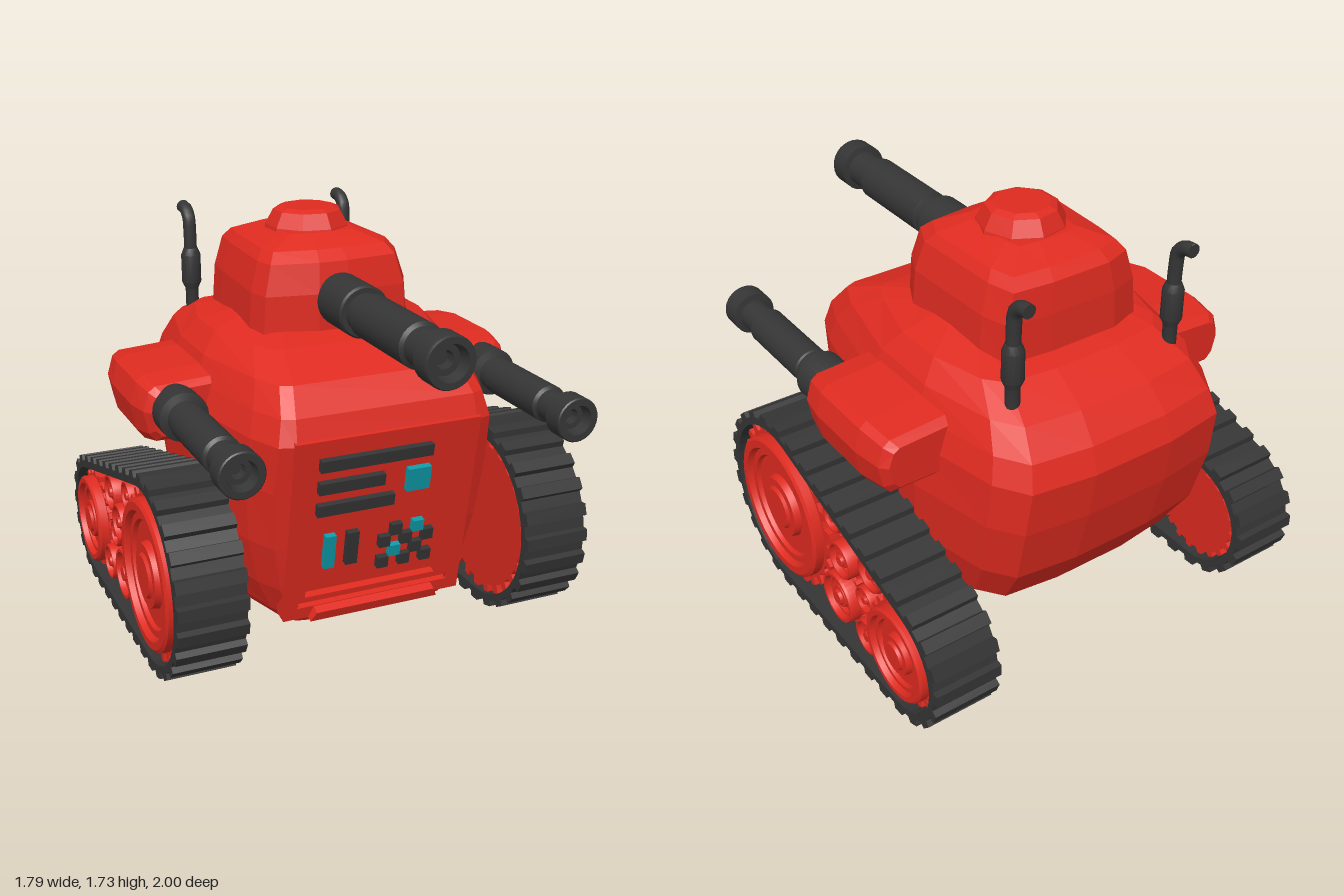
import * as THREE from 'three';
import { toCreasedNormals } from 'three/addons/utils/BufferGeometryUtils.js';

const red = new THREE.MeshStandardMaterial({ color: 0xdf2b20 });
const redFlat = new THREE.MeshStandardMaterial({ color: 0xdf2b20, flatShading: true });
const dark = new THREE.MeshStandardMaterial({ color: 0x353535 });
const cyan = new THREE.MeshStandardMaterial({ color: 0x0f9aa8 });

function add(group, name, geo, mat) {
  const mesh = new THREE.Mesh(geo, mat);
  mesh.name = name;
  group.add(mesh);
  return mesh;
}

// Skin over a stack of rings, capped at both ends; skip(i, j) leaves a quad open.
function loft(rings, skip = () => false) {
  const n = rings[0].length, pos = [], idx = [];
  rings.forEach(r => r.forEach(p => pos.push(...p)));
  for (let i = 0; i < rings.length - 1; i++) for (let j = 0; j < n; j++) {
    if (skip(i, j)) continue;
    const a = i * n + j, b = i * n + (j + 1) % n;
    idx.push(a, b, a + n, b, b + n, a + n);
  }
  [0, rings.length - 1].forEach((i, end) => {
    const c = pos.length / 3;
    pos.push(...[0, 1, 2].map(k => rings[i].reduce((s, p) => s + p[k], 0) / n));
    for (let j = 0; j < n; j++) {
      const a = i * n + j, b = i * n + (j + 1) % n;
      end ? idx.push(a, b, c) : idx.push(b, a, c);
    }
  });
  const g = new THREE.BufferGeometry();
  g.setAttribute('position', new THREE.Float32BufferAttribute(pos, 3));
  g.setIndex(idx);
  g.computeVertexNormals();
  return g;
}

const lathe = (pts, seg = 28) =>
  toCreasedNormals(new THREE.LatheGeometry(pts.map(p => new THREE.Vector2(...p)), seg), 0.5);

// Copy of a group with its baked geometry reflected in x.
function mirrored(group, name) {
  const out = new THREE.Group();
  out.name = name;
  group.children.forEach(m => {
    const g = m.geometry.index ? m.geometry.toNonIndexed() : m.geometry.clone();
    g.scale(-1, 1, 1);
    const p = g.attributes.position, v = new THREE.Vector3(), w = new THREE.Vector3();
    for (const at of [p, g.attributes.normal]) for (let i = 0; i < p.count; i += 3) {
      v.fromBufferAttribute(at, i + 1);
      w.fromBufferAttribute(at, i + 2);
      at.setXYZ(i + 1, w.x, w.y, w.z);
      at.setXYZ(i + 2, v.x, v.y, v.z);
    }
    add(out, m.name, g, m.material);
  });
  return out;
}

// Horizontal hull section: height, half width, front z, back z.
function hullRing([y, w, zf, zb]) {
  const c = (zf + zb) / 2, h = (zf - zb) / 2, fx = Math.min(0.38, w * 0.66);
  const half = [[fx, 1], [0.75 * w, 0.97], [0.85 * w, 0.78], [w, 0.2], [w, -0.28],
    [0.87 * w, -0.78], [0.73 * w, -0.95], [0.3 * w, -1]];
  const right = half.map(([x, v]) => [x, y, c + v * h]);
  return [...right, ...right.map(([x, , z]) => [-x, y, z]).reverse()];
}

// Gun barrel along +z with a hollow muzzle; steps are [radius, z].
function gun(x, y, steps, bore) {
  const z1 = steps.at(-1)[1];
  return lathe([[0, steps[0][1]], ...steps, [bore, z1], [bore * 0.85, z1 - 0.05],
    [bore * 0.5, z1 - 0.05], [bore * 0.45, z1 - 0.09], [0, z1 - 0.09]]).rotateX(Math.PI / 2).translate(x, y, 0);
}

// Toothed wheel on the x axis: extruded gear with a ringed face.
function addGear(group, name, z, y, r, teeth, x0, x1, x2) {
  const s = new THREE.Shape();
  for (let i = 0; i < teeth; i++) [[0, 0.9], [0.45, 0.9], [0.55, 1], [0.9, 1]].forEach(([t, k], j) => {
    const a = (i + t) / teeth * Math.PI * 2;
    s[i + j ? 'lineTo' : 'moveTo'](Math.cos(a) * r * k, Math.sin(a) * r * k);
  });
  const body = new THREE.ExtrudeGeometry(s, { depth: x1 - x0, bevelEnabled: false });
  add(group, name, body.rotateY(Math.PI / 2).translate(x0, y, z), red);
  const d = x2 - x1;
  const face = [[0.86, -0.2], [0.86, 0.8], [0.82, 1], [0.73, 1], [0.7, 0.5], [0.62, 0.5], [0.6, 0.15],
    [0.38, 0.15], [0.36, 0.75], [0.26, 0.75], [0.23, 1], [0, 1]].map(([a, b]) => [a * r, b * d]);
  add(group, name + 'Face', lathe(face, 32).rotateZ(-Math.PI / 2).translate(x1, y, z), red);
}

// Track belt outline around two wheels (shape x runs towards the back).
function trackGeometry() {
  const c1 = new THREE.Vector2(-0.17, 0.42), c2 = new THREE.Vector2(0.71, 0.3), r1 = 0.415, r2 = 0.29;
  const d = c1.clone().sub(c2), phi = d.angle(), beta = Math.acos((r2 - r1) / d.length());
  const path = new THREE.Path();
  path.absarc(c1.x, c1.y, r1, phi - beta, phi + beta);
  path.absarc(c2.x, c2.y, r2, phi + beta, phi + Math.PI * 2 - beta);
  path.closePath();
  const at = (t, off) => {
    const p = path.getPoint(t % 1), q = path.getTangent(t % 1);
    return new THREE.Vector2(p.x - q.y * off, p.y + q.x * off);
  };
  const outer = [], inner = [], cleats = 36;
  for (let i = 0; i < cleats; i++) {
    outer.push(at((i + 0.03) / cleats, 0.026), at((i + 0.47) / cleats, 0.026),
      at((i + 0.53) / cleats, 0), at((i + 0.97) / cleats, 0));
    inner.push(at((i + 0.25) / cleats, 0.055), at((i + 0.75) / cleats, 0.055));
  }
  const s = new THREE.Shape(outer);
  s.holes.push(new THREE.Path(inner));
  return new THREE.ExtrudeGeometry(s, { depth: 0.283, bevelEnabled: false }).rotateY(Math.PI / 2).translate(0.602, 0, 0);
}

// Rectangular frame with a rectangular opening.
function frame(w, y0, y1, wi, yi0, yi1, depth) {
  const rect = (C, a, b, c) => new C([[-a, b], [a, b], [a, c], [-a, c]].map(p => new THREE.Vector2(...p)));
  const s = rect(THREE.Shape, w, y0, y1);
  s.holes.push(rect(THREE.Path, wi, yi0, yi1));
  return new THREE.ExtrudeGeometry(s, { depth, bevelEnabled: false });
}

function frontPanel() {
  const g = new THREE.Group();
  g.name = 'frontPanel';
  g.position.set(0, 0.22, 0.37);
  g.rotation.x = Math.atan(0.15 / 0.78);
  add(g, 'outerFrame', frame(0.39, -0.012, 0.81, 0.335, 0.04, 0.765, 0.07).translate(0, 0, -0.062), red);
  add(g, 'innerFrame', frame(0.36, 0.02, 0.79, 0.29, 0.065, 0.72, 0.05).translate(0, 0, -0.07), red);
  add(g, 'panelPlate', new THREE.BoxGeometry(0.72, 0.77, 0.02).translate(0, 0.405, -0.065), red);
  const block = (name, x0, x1, y0, y1, mat) => add(g, name,
    new THREE.BoxGeometry(x1 - x0, (y1 - y0) * 1.018, 0.035)
      .translate((x0 + x1) / 2, ((y0 + y1) / 2 - 0.22) * 1.018, -0.045), mat);
  block('slot', -0.26, 0.22, 0.85, 0.9, dark);
  block('slot', -0.26, 0.02, 0.75, 0.8, dark);
  block('slot', -0.26, 0.07, 0.65, 0.7, dark);
  block('lamp', 0.12, 0.22, 0.7, 0.8, cyan);
  block('lampBar', -0.215, -0.17, 0.4, 0.55, cyan);
  block('slotBar', -0.12, -0.07, 0.4, 0.55, dark);
  // Checkered keypad
  for (let r = 0; r < 4; r++) for (let c = 0; c < 5; c++) {
    if ((r + c) % 2) continue;
    const lit = (r === 1 && c === 1) || (r === 3 && c === 3);
    block('key', 0.025 + c * 0.048, 0.073 + c * 0.048, 0.35 + r * 0.05, 0.4 + r * 0.05, lit ? cyan : dark);
  }
  add(g, 'lowerLip', new THREE.CylinderGeometry(0.37, 0.4, 0.045, 4, 1, false, Math.PI / 4)
    .scale(1, 1, 0.09).rotateX(0.25).translate(0, 0.012, 0.015), redFlat);
  return g;
}

export function createModel() {
  const model = new THREE.Group();

  // Hull, open at the front where the panel sits
  const hull = [[0.18, 0.43, 0.35, -0.42], [0.22, 0.47, 0.37, -0.58], [0.35, 0.535, 0.395, -0.76],
    [0.55, 0.585, 0.433, -0.885], [0.8, 0.605, 0.482, -0.95], [1, 0.595, 0.52, -0.978], [1.1, 0.565, 0.49, -0.94],
    [1.2, 0.525, 0.4, -0.85], [1.28, 0.46, 0.2, -0.68], [1.33, 0.33, -0.02, -0.42]];
  add(model, 'hull', loft(hull.map(hullRing), (i, j) => i >= 1 && i <= 4 && j === 15), redFlat);
  model.add(frontPanel());

  // Turret: chamfered box with slight taper
  const turretPlan = [[0.1, 1], [0.83, 0.93], [1, 0.6], [0.95, -0.6], [0.85, -0.95], [0.3, -1],
    [-0.55, -1], [-0.92, -0.88], [-0.96, -0.5], [-1, 0.6], [-0.93, 0.88], [-0.3, 1]];
  const turret = [[1.26, 0.35, 0.1, -0.6], [1.45, 0.335, 0.095, -0.595], [1.57, 0.3, 0.07, -0.58],
    [1.61, 0.27, 0.02, -0.54], [1.655, 0.15, -0.08, -0.43]];
  add(model, 'turret', loft(turret.map(([y, w, zf, zb]) => turretPlan.map(([u, v]) =>
    [u * w - 0.005, y, (zf + zb) / 2 + v * (zf - zb) / 2]))), redFlat);
  add(model, 'turretHatch', loft([[1.62, 0.18], [1.66, 0.172], [1.72, 0.14], [1.733, 0.11]].map(([y, r]) =>
    Array.from({ length: 9 }, (_, i) => {
      const a = i / 9 * Math.PI * 2 + 0.2;
      return [-0.01 + Math.sin(a) * r, y, -0.255 + Math.cos(a) * r];
    }))), redFlat);
  add(model, 'mainGun', gun(-0.01, 1.42, [[0.105, 0], [0.105, 0.3], [0.098, 0.31], [0.078, 0.31], [0.078, 0.36],
    [0.09, 0.365], [0.09, 0.775], [0.075, 0.785], [0.075, 0.9], [0.1, 0.905], [0.1, 0.99], [0.095, 1]], 0.07), dark);

  // Side pod with gun and exhaust
  const left = new THREE.Group();
  left.name = 'leftArmament';
  const podPlan = [[0.83, 1.03], [0.805, 1.12], [0.775, 1.145], [0.5, 1.165], [0.5, 0.88], [0.78, 0.88], [0.81, 0.92]];
  const pod = [[-0.56, 0.65], [-0.53, 0.86], [-0.4, 1], [-0.12, 1], [-0.01, 0.85], [0.02, 0.68]];
  add(left, 'sidePod', loft(pod.map(([z, k]) => podPlan.map(([x, y]) =>
    [0.53 + (x - 0.53) * (0.55 + 0.45 * k), 1.025 + (y - 1.025) * k, z]))), redFlat);
  add(left, 'sideGun', gun(0.683, 1.03, [[0.08, -0.05], [0.1, -0.01], [0.1, 0.115], [0.07, 0.125], [0.07, 0.17],
    [0.076, 0.175], [0.076, 0.55], [0.063, 0.56], [0.063, 0.665], [0.09, 0.67], [0.09, 0.755], [0.085, 0.76]], 0.06), dark);
  add(left, 'exhaustBase', lathe([[0, 1.18], [0.028, 1.18], [0.028, 1.31], [0.042, 1.34], [0.042, 1.46],
    [0.03, 1.49], [0, 1.49]], 14).translate(0.365, 0, -0.72), dark);
  const bend = new THREE.CatmullRomCurve3([[1.46, -0.72], [1.56, -0.722], [1.62, -0.73], [1.65, -0.765], [1.655, -0.808]]
    .map(([y, z]) => new THREE.Vector3(0.365, y, z)));
  add(left, 'exhaustPipe', new THREE.TubeGeometry(bend, 14, 0.028, 12), dark);
  add(left, 'exhaustEnd', new THREE.CircleGeometry(0.028, 12).rotateY(Math.PI).translate(0.365, 1.655, -0.806), dark);
  model.add(left, mirrored(left, 'rightArmament'));

  // Track with drive wheels and gear train
  const track = new THREE.Group();
  track.name = 'leftTrack';
  add(track, 'trackBelt', trackGeometry(), dark);
  addGear(track, 'frontWheel', 0.17, 0.42, 0.36, 26, 0.62, 0.85, 0.897);
  addGear(track, 'rearWheel', -0.71, 0.3, 0.225, 20, 0.62, 0.85, 0.895);
  addGear(track, 'backGear', -0.36, 0.38, 0.19, 36, 0.62, 0.7, 0.72);
  [[-0.21, 0.6, 0.075, 12], [-0.29, 0.45, 0.095, 14], [-0.48, 0.51, 0.095, 14], [-0.25, 0.23, 0.13, 18],
    [-0.43, 0.34, 0.07, 12], [-0.47, 0.19, 0.09, 14]].forEach(([z, y, r, n], i) =>
    addGear(track, 'gear', z, y, r, n, 0.65, 0.8 + (i % 2) * 0.02, 0.85 + (i % 2) * 0.02));
  model.add(track, mirrored(track, 'rightTrack'));
  return model;
}
